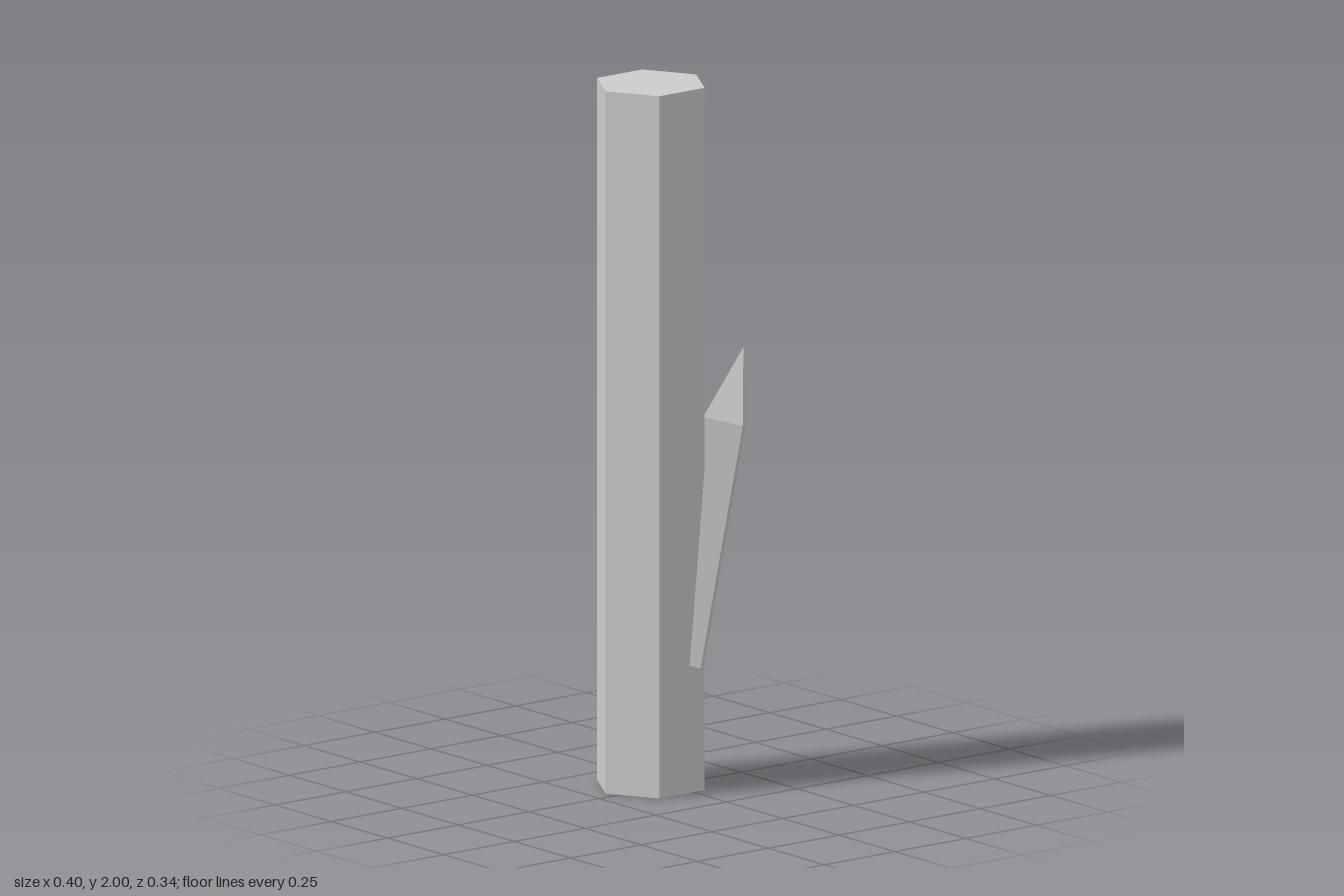
import * as THREE from 'three';
import { ConvexGeometry } from 'three/addons/geometries/ConvexGeometry.js';

export function createModel() {
  const model = new THREE.Group();
  model.name = 'post';
  const grey = new THREE.MeshStandardMaterial({ color: 0xcccccc, flatShading: true });
  grey.name = 'grey';

  // Six-sided post with corners on the x axis
  const post = new THREE.Mesh(
    new THREE.CylinderGeometry(0.16, 0.16, 2, 6, 1, false, Math.PI / 2), grey);
  post.name = 'hexagonalPost';
  post.position.set(-0.04, 1, -0.035);
  model.add(post);

  // Leaning square spike: a sheared prism with a pointed end
  const centre = new THREE.Vector3(0.121, 1.045, 0.092);
  const toSide = new THREE.Vector3(0.078, -0.015, -0.001);
  const toFront = new THREE.Vector3(0, -0.007, 0.079);
  const toFoot = new THREE.Vector3(-0.113, -0.682, -0.046);
  const points = [new THREE.Vector3(0.175, 1.242, 0.106)];
  for (const arm of [toSide, toFront]) {
    for (const sign of [-1, 1]) {
      const corner = centre.clone().addScaledVector(arm, sign);
      points.push(corner, corner.clone().add(toFoot));
    }
  }
  const spike = new THREE.Mesh(new ConvexGeometry(points), grey);
  spike.name = 'sideSpike';
  model.add(spike);

  return model;
}
